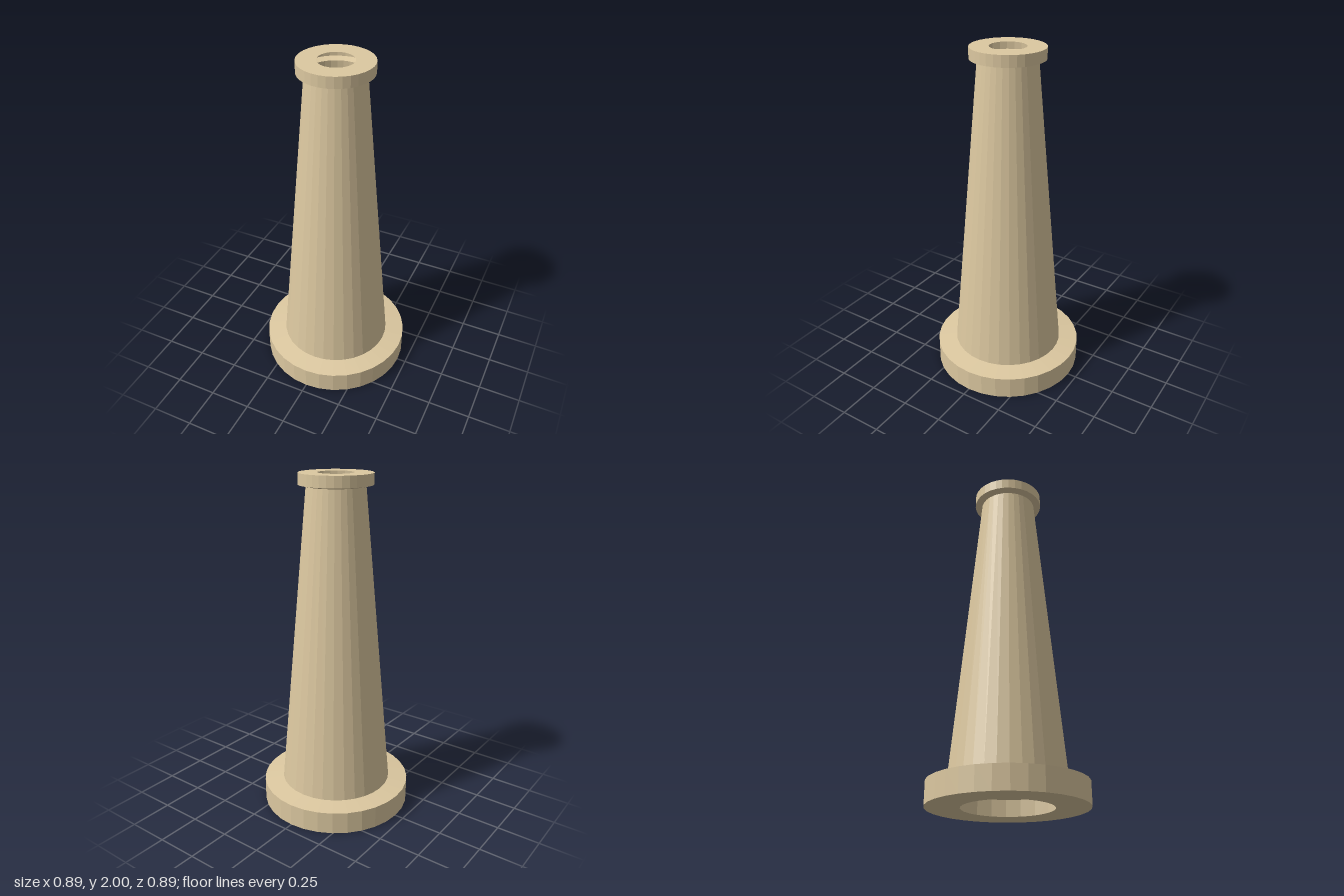
import * as THREE from 'three';

const SIDES = 32;

export function createModel() {
  const group = new THREE.Group();
  group.name = 'taperedNozzle';

  const material = new THREE.MeshStandardMaterial({
    color: 0xdcc8a0,
    flatShading: true,
    side: THREE.DoubleSide,
  });

  // Revolves a profile of [radius, height] points, listed from bottom to top
  function addShell(name, profile) {
    const points = profile.map(([r, y]) => new THREE.Vector2(r, y));
    const mesh = new THREE.Mesh(new THREE.LatheGeometry(points, SIDES), material);
    mesh.name = name;
    group.add(mesh);
  }

  // Hollow base flange: open underside, outer wall, slightly sloped top
  addShell('baseFlange', [[0.255, 0], [0.447, 0], [0.447, 0.133], [0.331, 0.146]]);

  // Thin tapering barrel, open at both ends
  addShell('barrel', [[0.331, 0.146], [0.167, 1.927]]);

  // Hollow top collar with a round opening
  addShell('topCollar', [[0.167, 1.927], [0.21, 1.936], [0.21, 2], [0.102, 2]]);

  return group;
}
